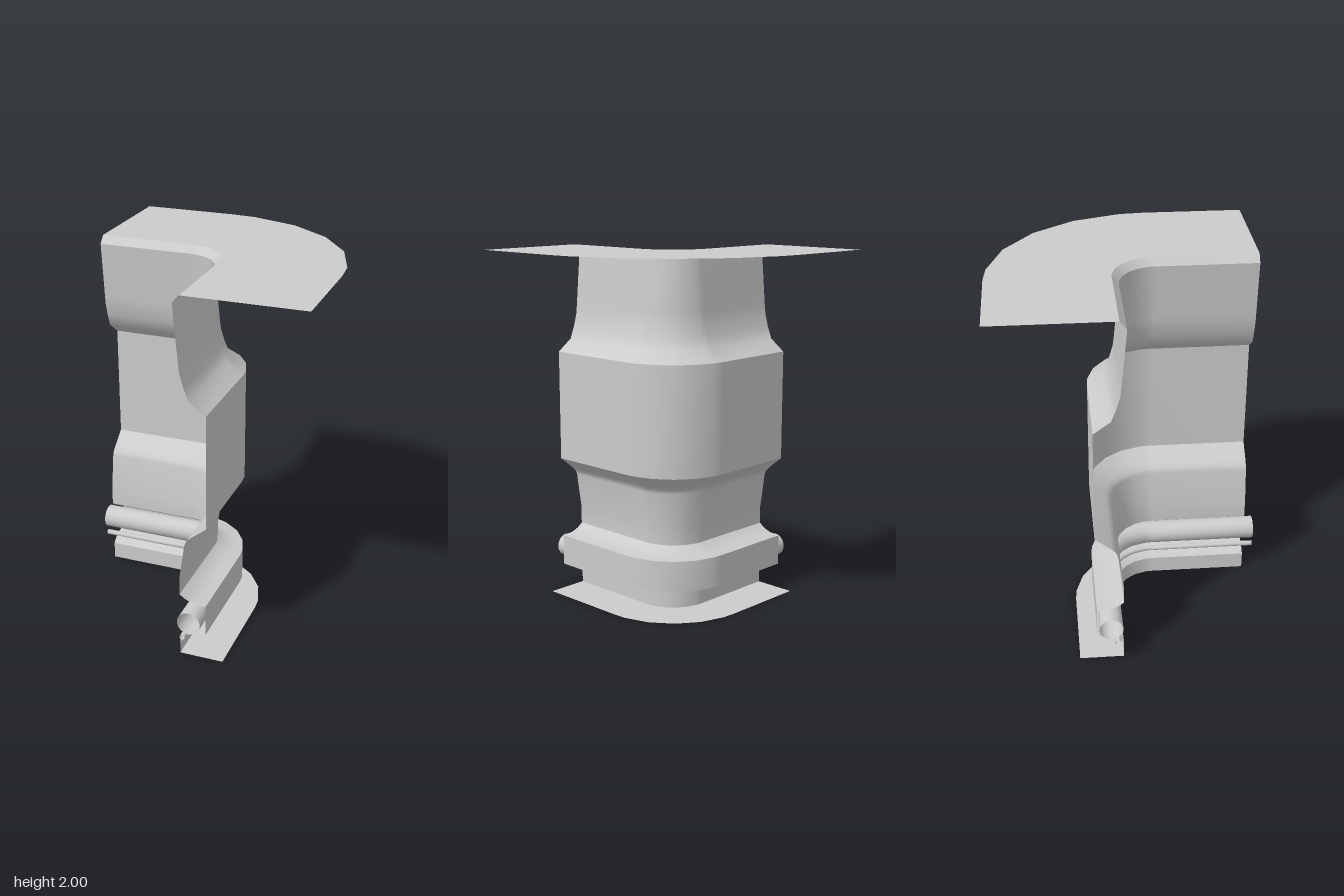
import * as THREE from 'three';
import { mergeVertices } from 'three/addons/utils/BufferGeometryUtils.js';

const CX = -0.15, CZ = 0.135; // centre of the rounded corner

// Plan stations along the L-shaped run: straight arm, faceted corner, straight arm
function stations(endX, endZ) {
  const list = [{ a: 0, x: endX, z: CZ }];
  for (const deg of [0, 9, 27, 45, 63, 81, 90]) {
    list.push({ a: THREE.MathUtils.degToRad(deg), x: CX, z: CZ });
  }
  list.push({ a: Math.PI / 2, x: CX, z: endZ });
  return list;
}

// Sweep a profile of [offset, height] points around the corner
function sweep(profile, endX, endZ) {
  const path = stations(endX, endZ);
  const n = profile.length;
  const pos = [], index = [];
  for (const s of path) {
    for (const [off, y] of profile) {
      const r = off - CX;
      pos.push(s.x + r * Math.sin(s.a), y, s.z - r * Math.cos(s.a));
    }
  }
  for (let i = 0; i < path.length - 1; i++) {
    for (let j = 0; j < n - 1; j++) {
      const a = i * n + j, b = a + n;
      index.push(a, a + 1, b, a + 1, b + 1, b);
    }
  }
  let geo = new THREE.BufferGeometry();
  geo.setAttribute('position', new THREE.Float32BufferAttribute(pos, 3));
  geo.setIndex(index);
  geo = mergeVertices(geo, 1e-5);
  geo.computeVertexNormals();
  return geo;
}

// Closed circular profile for pipes
function circle(off, y, r, sides) {
  return Array.from({ length: sides + 1 }, (_, i) => {
    const t = ((i % sides) / sides) * Math.PI * 2;
    return [off + r * Math.cos(t), y + r * Math.sin(t)];
  });
}

export function createModel() {
  const group = new THREE.Group();
  const material = new THREE.MeshStandardMaterial({ color: 0xcccccc, side: THREE.DoubleSide });
  const add = (name, profile, endX, endZ) => {
    const mesh = new THREE.Mesh(sweep(profile, endX, endZ), material);
    mesh.name = name;
    group.add(mesh);
  };

  // Sheet panels from bottom to top; each is smooth, with sharp edges between them
  const panels = {
    bottomFlange: [[0.31, 0], [0.072, 0]],
    plinth: [[0.072, 0], [0.072, 0.095]],
    railLowerCove: [[0.072, 0.095], [0.105, 0.122], [0.15, 0.14], [0.215, 0.146]],
    rail: [[0.215, 0.146], [0.215, 0.32]],
    railUpperCove: [[0.215, 0.32], [0.15, 0.326], [0.105, 0.343], [0.072, 0.367]],
    lowerWaist: [[0.072, 0.367], [0.072, 0.467], [0.102, 0.67], [0.113, 0.695], [0.135, 0.717], [0.221, 0.786]],
    middleBand: [[0.221, 0.786], [0.221, 1.407]],
    upperWaist: [[0.221, 1.407], [0.132, 1.472], [0.105, 1.54], [0.086, 1.607], [0.08, 1.66], [0.053, 1.96]],
    topLip: [[0.053, 1.96], [0.088, 2]],
    topFlange: [[0.088, 2], [0.72, 2]],
  };
  for (const [name, profile] of Object.entries(panels)) add(name, profile, -0.66, 0.675);

  // Open pipes running inside and below the rail
  add('largePipe', circle(0.143, 0.238, 0.064, 20), -0.72, 0.735);
  add('smallPipe', circle(0.107, 0.145, 0.015, 10), -0.715, 0.735);
  return group;
}
